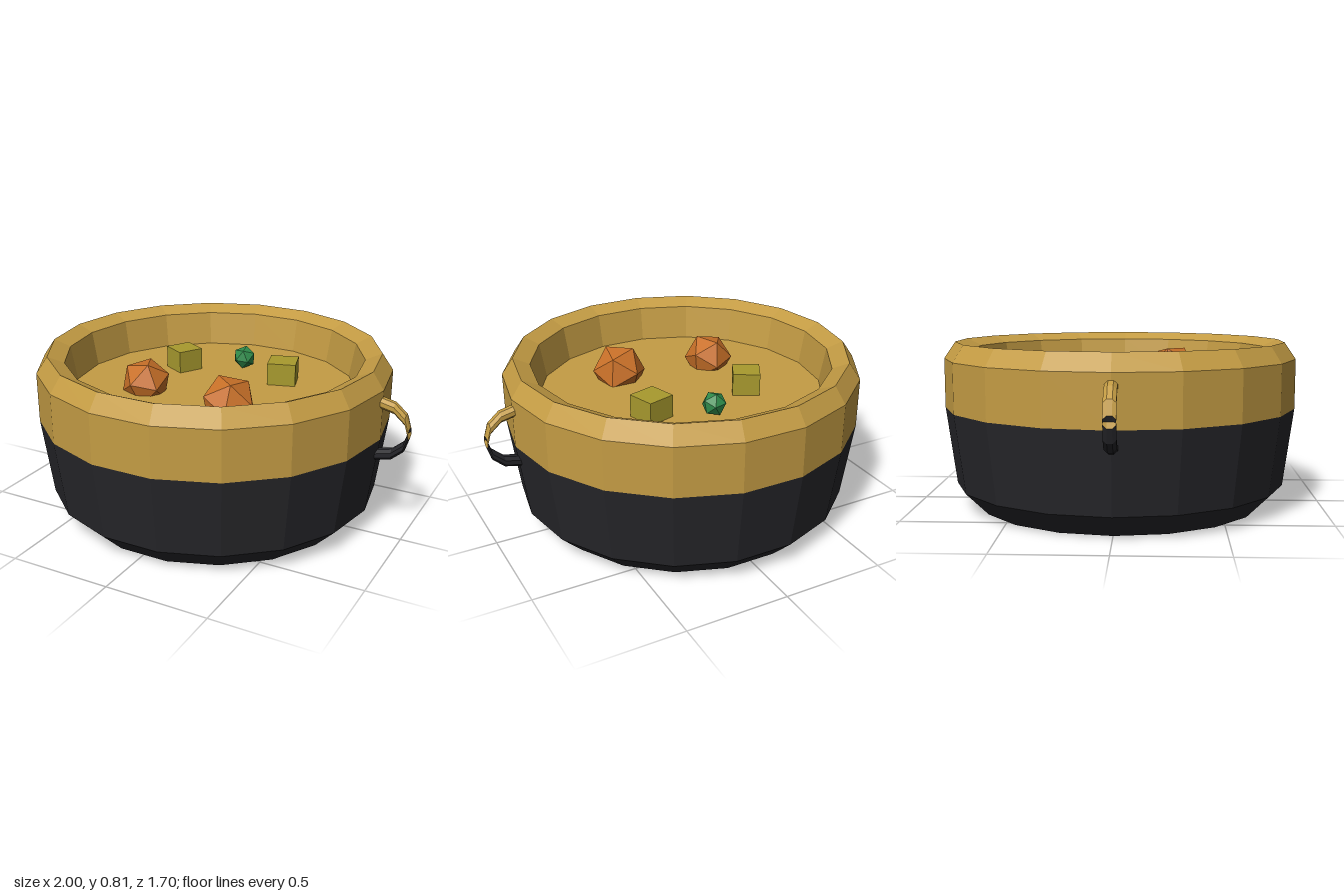
import * as THREE from 'three';

const material = (color, side = THREE.FrontSide) =>
  new THREE.MeshStandardMaterial({ color, flatShading: true, side });

const GOLD = 0xc49c44, DARK = 0x26262a, ORANGE = 0xc87028, GREEN = 0x2f8a4a, YELLOW = 0xa89a2e;

function addMesh(parent, name, geometry, mat, position = [0, 0, 0], rotation = [0, 0, 0]) {
  const mesh = new THREE.Mesh(geometry, mat);
  mesh.name = name;
  mesh.position.set(...position);
  mesh.rotation.set(...rotation);
  parent.add(mesh);
  return mesh;
}

// 18-sided turned shape with a corner on the x axis
function turned(profile) {
  const points = profile.map(([r, y]) => new THREE.Vector2(r, y));
  return new THREE.LatheGeometry(points, 18, Math.PI / 2);
}

// Half of a loop handle: an upright octagon shifted along a quarter ellipse
function handleHalf(side, up) {
  const steps = 3, sides = 8, pos = [], index = [];
  for (let i = 0; i <= steps; i++) {
    const t = (i / steps) * Math.PI / 2;
    const x = 0.85 + 0.15 * Math.cos(t);
    const y = 0.545 + up * 0.13 * Math.sin(t);
    for (let j = 0; j < sides; j++) {
      const a = ((j + 0.5) / sides) * Math.PI * 2;
      pos.push(side * x, y + 0.028 * Math.cos(a), 0.03 * Math.sin(a));
    }
  }
  for (let i = 0; i < steps; i++) {
    for (let j = 0; j < sides; j++) {
      const a = i * sides + j, b = i * sides + (j + 1) % sides;
      const c = a + sides, d = b + sides;
      if (side > 0) index.push(a, b, c, b, d, c);
      else index.push(a, c, b, b, c, d);
    }
  }
  const geometry = new THREE.BufferGeometry();
  geometry.setAttribute('position', new THREE.Float32BufferAttribute(pos, 3));
  geometry.setIndex(index);
  geometry.computeVertexNormals();
  return geometry;
}

export function createModel() {
  const model = new THREE.Group();
  model.name = 'stewPot';

  // Pot body: dark base, gold upper band with a bevelled rim and inner wall
  addMesh(model, 'potBase',
    turned([[0, 0], [0.705, 0], [0.815, 0.11], [0.865, 0.49]]), material(DARK));
  addMesh(model, 'potRim',
    turned([[0.865, 0.49], [0.865, 0.73], [0.81, 0.81], [0.73, 0.775], [0.70, 0.605]]), material(GOLD));
  addMesh(model, 'stewSurface', turned([[0.70, 0.605], [0, 0.605]]), material(GOLD));

  // Side handles, gold above and dark below
  for (const side of [1, -1]) {
    const handle = new THREE.Group();
    handle.name = side > 0 ? 'leftHandle' : 'rightHandle';
    addMesh(handle, 'handleTop', handleHalf(side, 1), material(GOLD, THREE.DoubleSide));
    addMesh(handle, 'handleBottom', handleHalf(side, -1), material(DARK, THREE.DoubleSide));
    model.add(handle);
  }

  // Round vegetable chunks: x, y, z, radius, colour
  const chunks = [
    [-0.27, 0.645, 0.21, 0.122, ORANGE, 'carrotChunk'],
    [0.215, 0.645, 0.265, 0.135, ORANGE, 'carrotChunk'],
    [0, 0.657, -0.33, 0.06, GREEN, 'pea'],
  ];
  chunks.forEach(([x, y, z, r, color, name], i) =>
    addMesh(model, name, new THREE.IcosahedronGeometry(r, 0), material(color),
      [x, y, z], [0.4 + i * 0.3, 0.5 * i, 0.2]));

  // Potato cubes: x, z, width, turn
  for (const [x, z, w, turn] of [[-0.27, -0.17, 0.132, -0.51], [0.27, -0.22, 0.14, 0.29]]) {
    addMesh(model, 'potatoCube', new THREE.BoxGeometry(w, 0.13, w), material(YELLOW),
      [x, 0.65, z], [0, turn, 0]);
  }
  return model;
}
